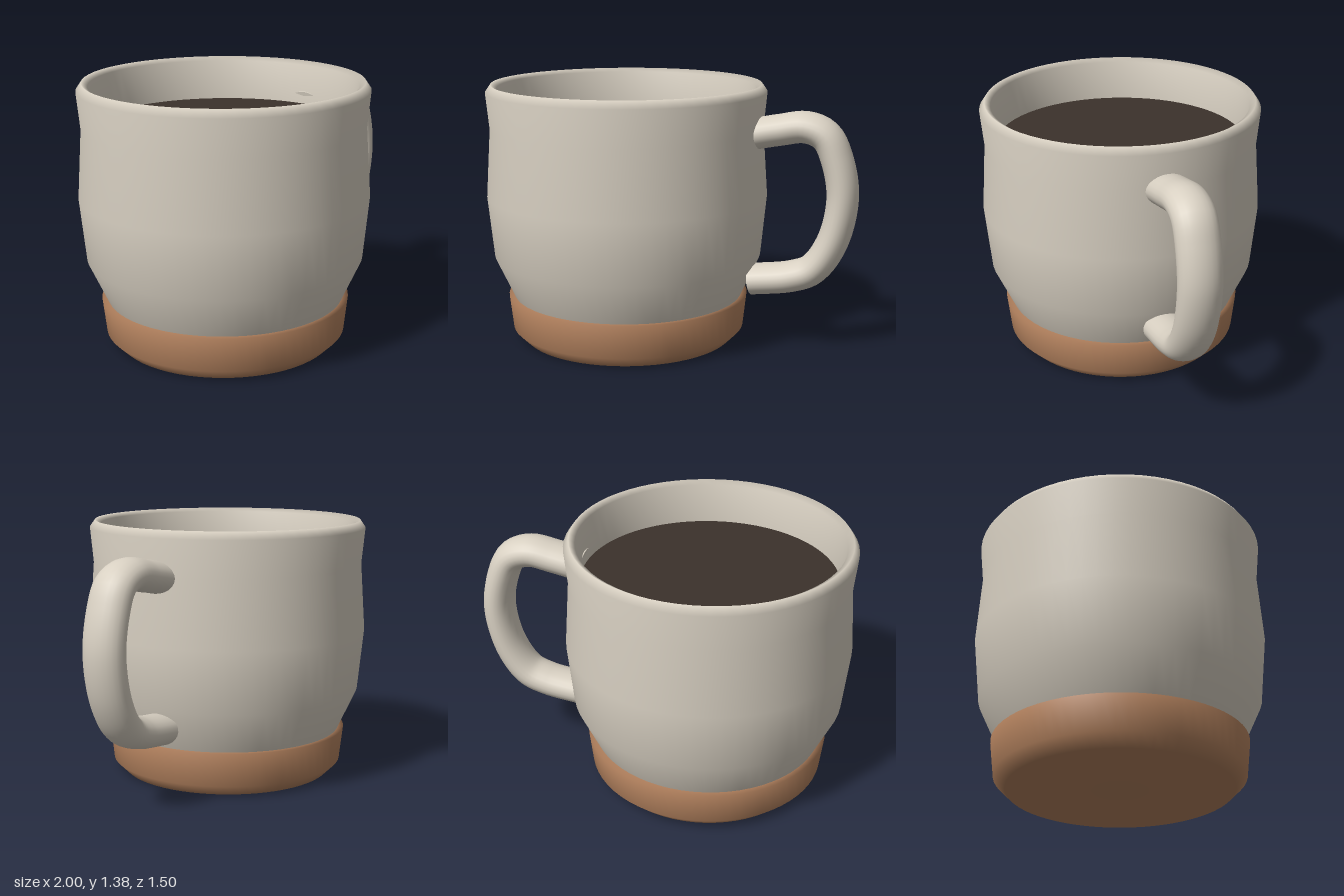
import * as THREE from 'three';

const glaze = new THREE.MeshStandardMaterial({ color: 0xd8d0c2 });
glaze.name = 'cream glaze';
const clay = new THREE.MeshStandardMaterial({ color: 0xb5835f });
clay.name = 'terracotta clay';
const coffee = new THREE.MeshStandardMaterial({ color: 0x3b322b });
coffee.name = 'dark coffee';

const SEGMENTS = 64;

function mesh(name, geometry, material) {
  const m = new THREE.Mesh(geometry, material);
  m.name = name;
  return m;
}

function lathe(name, profile, material) {
  const points = profile.map(([r, y]) => new THREE.Vector2(r, y));
  return mesh(name, new THREE.LatheGeometry(points, SEGMENTS), material);
}

// Oval-section tube along a curve, with closed ends
function makeHandle() {
  const radius = 0.082;
  const path = new THREE.CatmullRomCurve3([
    [0.43, 1.135], [0.58, 1.165], [0.72, 1.185], [0.82, 1.145], [0.88, 1.03],
    [0.916, 0.83], [0.87, 0.595], [0.77, 0.44], [0.66, 0.392], [0.443, 0.358],
  ].map(([x, y]) => new THREE.Vector3(x, y, 0)));
  const handle = new THREE.Group();
  handle.name = 'handle';
  handle.add(mesh('handleLoop', new THREE.TubeGeometry(path, 56, radius, 24), glaze));
  for (const t of [0, 1]) {
    const cap = mesh('handleEnd', new THREE.CircleGeometry(radius, 24), glaze);
    const outward = path.getTangentAt(t).multiplyScalar(t ? 1 : -1);
    cap.quaternion.setFromUnitVectors(new THREE.Vector3(0, 0, 1), outward);
    cap.position.copy(path.getPointAt(t));
    handle.add(cap);
  }
  handle.scale.z = 0.112 / radius;
  return handle;
}

export function createModel() {
  const model = new THREE.Group();
  model.name = 'mug';

  const vessel = new THREE.Group();
  vessel.name = 'vessel';
  vessel.position.x = -0.25;
  model.add(vessel);

  // Unglazed foot
  vessel.add(lathe('foot', [
    [0, 0], [0.57, 0], [0.63, 0.06], [0.65, 0.24], [0.6, 0.24],
  ], clay));

  // Outer wall, rim and inner wall
  vessel.add(lathe('body', [
    [0.615, 0.23], [0.72, 0.46], [0.752, 0.79], [0.727, 1.15], [0.745, 1.34],
    [0.717, 1.38], [0.685, 1.36], [0.665, 1.15], [0.66, 0.8], [0.55, 0.3], [0, 0.28],
  ], glaze));

  // Drink surface
  const drink = mesh('coffee', new THREE.CircleGeometry(0.664, SEGMENTS), coffee);
  drink.rotation.x = -Math.PI / 2;
  drink.position.y = 1.15;
  vessel.add(drink);

  model.add(makeHandle());
  return model;
}
